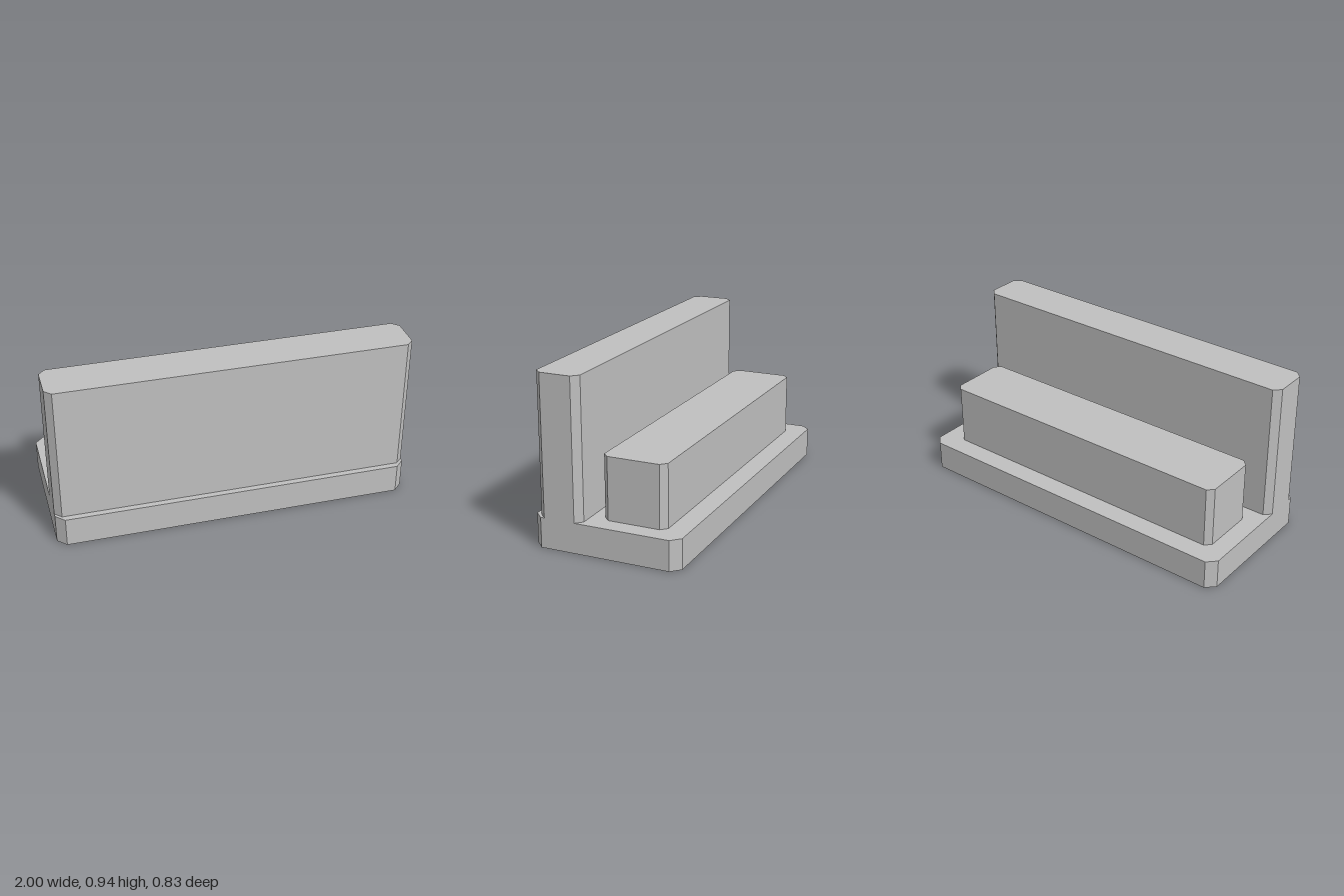
import * as THREE from 'three';

// Upright slab whose four vertical corners are chamfered by c
function chamferedSlab(name, material, halfX, zMin, zMax, yMin, yMax, c) {
  const h = (zMax - zMin) / 2;
  const outline = new THREE.Shape([
    [halfX - c, -h], [halfX, -h + c], [halfX, h - c], [halfX - c, h],
    [-halfX + c, h], [-halfX, h - c], [-halfX, -h + c], [-halfX + c, -h],
  ].map(([x, y]) => new THREE.Vector2(x, y)));
  const geometry = new THREE.ExtrudeGeometry(outline, { depth: yMax - yMin, bevelEnabled: false });
  geometry.rotateX(-Math.PI / 2);
  geometry.translate(0, yMin, (zMin + zMax) / 2);
  const mesh = new THREE.Mesh(geometry, material);
  mesh.name = name;
  return mesh;
}

export function createModel() {
  const grey = new THREE.MeshStandardMaterial({ color: 0xc0c0c0 });
  grey.name = 'plain grey';

  const group = new THREE.Group();
  group.name = 'steppedBarrier';
  group.add(
    // Low plinth
    chamferedSlab('base', grey, 1, -0.413, 0.413, 0, 0.167, 0.049),
    // Tall wall along the front edge
    chamferedSlab('frontWall', grey, 1, 0.131, 0.379, 0.167, 0.942, 0.037),
    // Shorter block behind the wall
    chamferedSlab('rearBlock', grey, 0.896, -0.297, 0.06, 0.167, 0.514, 0.033),
  );
  return group;
}
